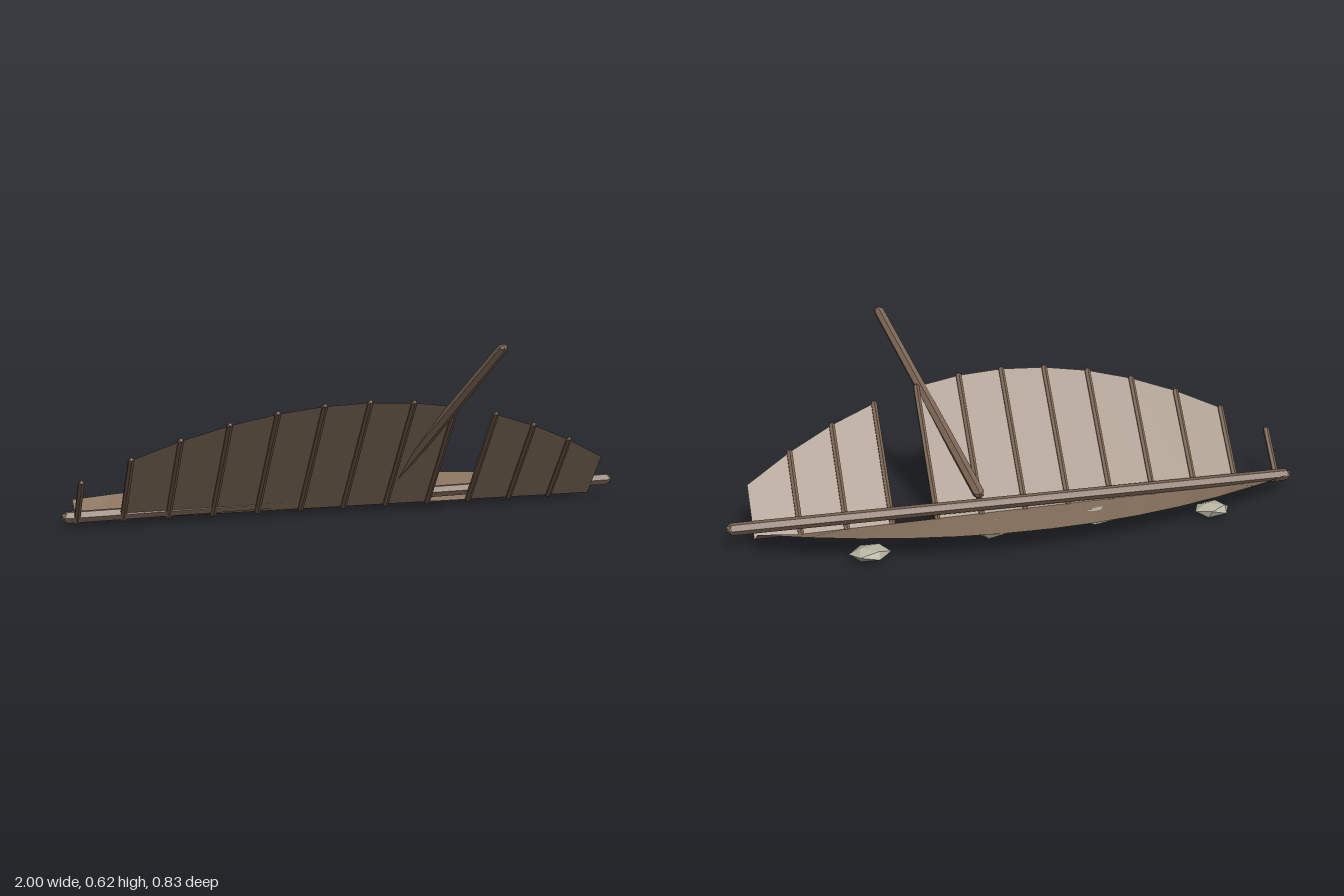
import * as THREE from 'three';

const wood = (name, color) => Object.assign(
  new THREE.MeshStandardMaterial({ color, flatShading: true, side: THREE.DoubleSide }), { name });

export function createModel() {
  const model = new THREE.Group();
  model.name = 'shipwreck';
  const plankMat = wood('weatheredPlank', 0x8a7460);
  const timberMat = wood('darkTimber', 0x78624f);
  const stoneMat = wood('paleStone', 0xb5b3a0);

  // Six-sided spar with faceted rounded ends
  function spar(name, a, b, rA, rB = rA) {
    const group = new THREE.Group();
    group.name = name;
    const dir = b.clone().sub(a);
    const shaft = new THREE.Mesh(new THREE.CylinderGeometry(rB, rA, dir.length(), 6, 1, true), timberMat);
    shaft.name = name + 'Shaft';
    group.add(shaft);
    [[-1, rA], [1, rB]].forEach(([s, r]) => {
      const cap = new THREE.Mesh(new THREE.IcosahedronGeometry(r, 0), timberMat);
      cap.name = name + 'End';
      cap.position.y = s * dir.length() / 2;
      group.add(cap);
    });
    group.position.copy(a).add(b).multiplyScalar(0.5);
    group.quaternion.setFromUnitVectors(new THREE.Vector3(0, 1, 0), dir.normalize());
    model.add(group);
  }

  // Hull stations: the hull narrows parabolically towards both ends
  const stations = 12;
  const xAt = (i) => -0.95 + i * 0.155;
  const u2 = (i) => ((i - 6) / 6) ** 2;
  const root = (i) => new THREE.Vector3(xAt(i), 0.021, -0.105);
  const standing = (i) => {
    const w = 1 - 0.63 * u2(i);
    return new THREE.Vector3(xAt(i), 0.021 + 0.402 * w, -0.105 + 0.307 * w);
  };
  const fallen = (i) => new THREE.Vector3(xAt(i), 0.08, -0.413 + 0.213 * u2(i));

  // Planking strip between neighbouring stations
  function planking(name, edge, missing) {
    const points = [];
    for (let i = 0; i < stations; i++) {
      if (missing.includes(i)) continue;
      const [a, b, c, d] = [root(i), root(i + 1), edge(i + 1), edge(i)];
      points.push(a, b, c, a, c, d);
    }
    const geometry = new THREE.BufferGeometry().setFromPoints(points);
    geometry.computeVertexNormals();
    const mesh = new THREE.Mesh(geometry, plankMat);
    mesh.name = name;
    model.add(mesh);
  }
  planking('standingPlanking', standing, [0, 8]);
  planking('fallenPlanking', fallen, []);

  // Ribs of the standing side
  for (let i = 0; i < stations; i++) spar('rib', root(i), standing(i), 0.011);

  // Keel, slightly tilted, and leaning broken mast
  spar('keel', new THREE.Vector3(-0.983, 0.037, -0.105), new THREE.Vector3(0.983, 0.067, -0.105), 0.021);
  spar('mast', new THREE.Vector3(0.14, 0.09, -0.085), new THREE.Vector3(0.37, 0.61, 0.395), 0.021, 0.018);

  // Flat stones beneath the fallen side: x, y, z, width, depth, turn
  [
    [-0.63, 0.025, -0.29, 0.066, 0.05, 0.4],
    [-0.235, 0.027, -0.24, 0.078, 0.055, 0.5],
    [0.135, 0.024, -0.245, 0.068, 0.055, 1.1],
    [0.565, 0.026, -0.318, 0.07, 0.052, 0.2],
  ].forEach(([x, y, z, w, d, turn]) => {
    const geometry = new THREE.IcosahedronGeometry(1, 0).rotateY(turn * 2).rotateX(turn);
    geometry.scale(w, 0.025, d);
    const stone = new THREE.Mesh(geometry, stoneMat);
    stone.name = 'stone';
    stone.position.set(x, y, z);
    model.add(stone);
  });

  return model;
}
